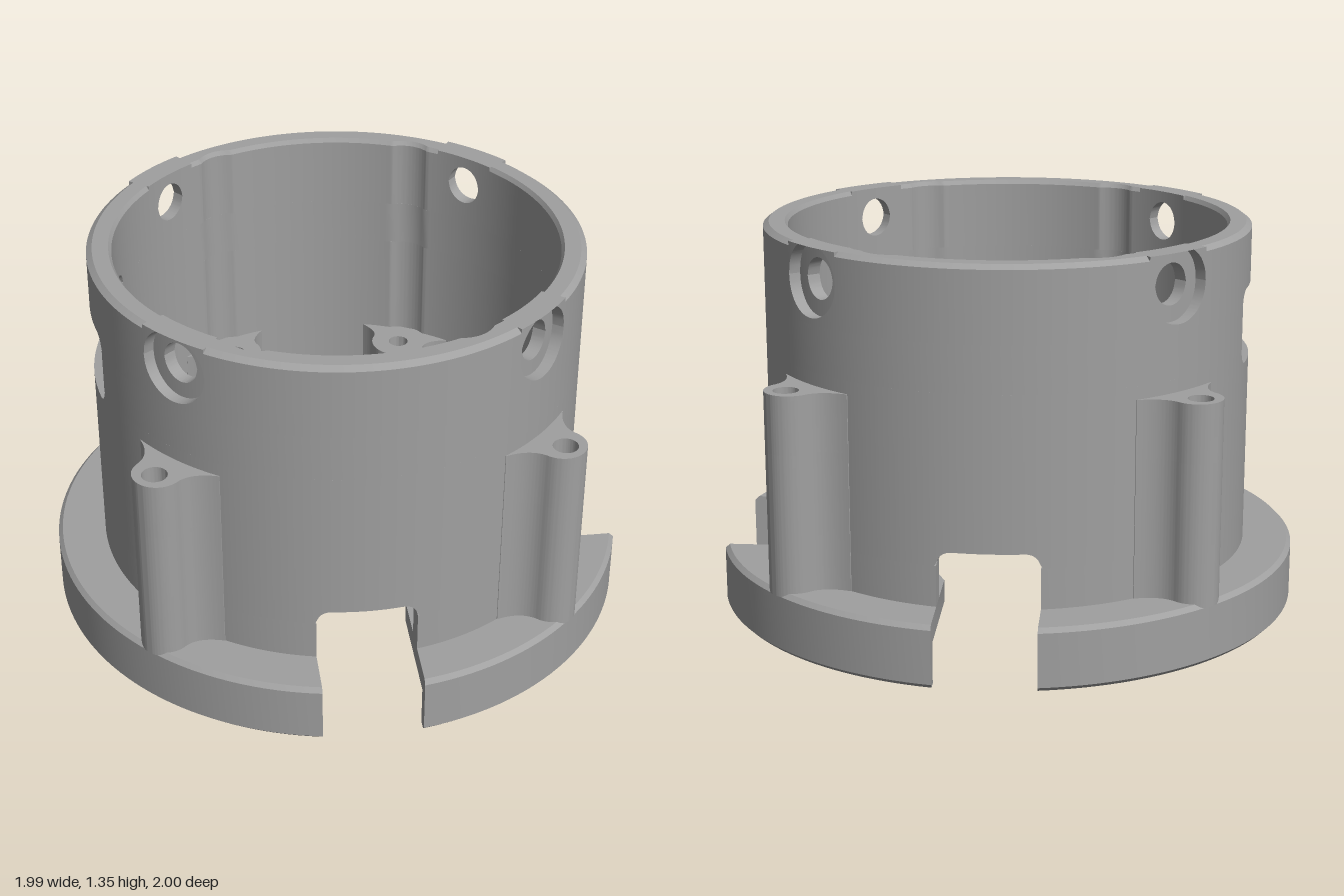
import * as THREE from 'three';
import { toCreasedNormals } from 'three/addons/utils/BufferGeometryUtils.js';

const grey = new THREE.MeshStandardMaterial({ color: 0xa0a0a0 });
grey.name = 'grey';

const PI = Math.PI;
const SLOT_X = 0.17, SLOT_Z = 0.27;          // half widths of the base slots
const R_IN = 0.76, R_OUT = 0.845, R_FLANGE = 1.015;
const WINDOW = 0.227;                        // half width of the side window
const HOLE_Y = 1.24, TOP = 1.35;
const BOSS_ANGLE = Math.atan2(0.59, 0.315), BOSS_R = 0.669;

const val = (v, ...args) => (typeof v === 'function' ? v(...args) : v);

// Ring segment: sweeps a convex cross-section of [radius, height] corners about the y axis.
// Angles may depend on radius (parallel cuts); radius and height may depend on angle.
function band(a0, a1, n, corners, capped = true) {
  const rows = [];
  for (let i = 0; i <= n; i++) {
    rows.push(corners.map(([rad, y]) => {
      const rRef = typeof rad === 'function' ? R_IN : rad;
      const a = THREE.MathUtils.lerp(val(a0, rRef), val(a1, rRef), i / n);
      const r = val(rad, a);
      return [r * Math.cos(a), val(y, a, r), r * Math.sin(a)];
    }));
  }
  const pos = [], m = corners.length;
  const tri = (a, b, c) => pos.push(...a, ...b, ...c);
  for (let i = 0; i < n; i++) {
    for (let j = 0; j < m; j++) {
      const k = (j + 1) % m, s = rows[i], e = rows[i + 1];
      tri(s[j], s[k], e[k]);
      tri(s[j], e[k], e[j]);
    }
  }
  if (capped) {
    for (let j = 1; j < m - 1; j++) {
      tri(rows[0][0], rows[0][j + 1], rows[0][j]);
      tri(rows[n][0], rows[n][j], rows[n][j + 1]);
    }
  }
  const g = new THREE.BufferGeometry();
  g.setAttribute('position', new THREE.Float32BufferAttribute(pos, 3));
  return toCreasedNormals(g, 0.5);
}

// Plan shape (x, z) extruded from y0 up to y1.
function slab(shape, y0, y1) {
  const g = new THREE.ExtrudeGeometry(shape, { depth: y1 - y0, bevelEnabled: false, curveSegments: 40 });
  g.rotateX(PI / 2).translate(0, y1, 0);
  return toCreasedNormals(g, 0.5);
}

function circle(x, z, r) {
  return new THREE.Path().absarc(x, z, r, 0, 2 * PI, false);
}

// Depth of an opening with rounded corners at lateral position u.
function rounded(u, w, rad = 0.05) {
  const d = w - Math.abs(u);
  if (d <= 0) return 0;
  return d < rad ? Math.sqrt(rad * rad - (rad - d) ** 2) : rad;
}

// Inner radius with shallow screwdriver grooves above the inner bosses.
function innerRadius(a) {
  const q = Math.atan2(Math.abs(Math.sin(a)), Math.abs(Math.cos(a)));
  const d = q - BOSS_ANGLE, k = 0.0121 - (BOSS_R * Math.sin(d)) ** 2;
  return k > 0 ? Math.max(R_IN, BOSS_R * Math.cos(d) + Math.sqrt(k)) : R_IN;
}

function outerColumnPlan() {
  const s = new THREE.Shape();
  s.moveTo(0.8, -0.17).lineTo(0.83, -0.17);
  s.quadraticCurveTo(0.87, -0.09, 0.93, -0.085);
  s.absarc(0.935, 0, 0.085, -PI / 2, PI / 2, false);
  s.quadraticCurveTo(0.87, 0.09, 0.83, 0.17);
  s.lineTo(0.8, 0.17);
  return s;
}

function innerBossPlan() {
  const s = new THREE.Shape();
  s.moveTo(0.775, -0.17).lineTo(0.74, -0.17);
  s.quadraticCurveTo(0.71, -0.1, BOSS_R, -0.1);
  s.absarc(BOSS_R, 0, 0.1, -PI / 2, PI / 2, true);
  s.quadraticCurveTo(0.71, 0.1, 0.74, 0.17);
  s.lineTo(0.775, 0.17);
  return s;
}

function longPlatePlan() {
  const s = new THREE.Shape(), a = Math.acos(-SLOT_X / 0.97), b = Math.atan2(0.48, -0.25);
  s.absarc(0, 0, 0.97, a, 2 * PI - a, false);
  s.lineTo(-0.17, -0.58).lineTo(-0.195, -0.52);
  s.absarc(0, 0, 0.54, 2 * PI - b, b, true);
  s.lineTo(-0.195, 0.52).lineTo(-0.17, 0.58);
  s.holes.push(circle(-0.445, 0.45, 0.06), circle(-0.445, -0.45, 0.06));
  return s;
}

function shortPlatePlan(m) {
  const s = new THREE.Shape();
  s.absarc(0, 0, 0.97, m * Math.asin(SLOT_Z / 0.97), m * Math.acos(SLOT_X / 0.97), m < 0);
  for (const [x, z] of [[0.17, 0.58], [0.195, 0.52], [0.28, 0.47], [0.37, 0.39], [0.41, 0.32], [0.47, 0.27]]) {
    s.lineTo(x, m * z);
  }
  s.holes.push(circle(0.445, m * 0.45, 0.06));
  return s;
}

export function createModel() {
  const model = new THREE.Group();
  model.name = 'housing';
  model.position.x = 0.02;
  const add = (name, geometry, parent = model) => {
    const mesh = new THREE.Mesh(geometry, grey);
    mesh.name = name;
    parent.add(mesh);
  };

  // Three base sectors separated by the slots: skirt, floor plate and lower wall
  const sectors = [
    ['right', (r) => Math.acos(-SLOT_X / r), (r) => 2 * PI - Math.acos(-SLOT_X / r), longPlatePlan()],
    ['frontLeft', (r) => Math.asin(SLOT_Z / r), (r) => Math.acos(SLOT_X / r), shortPlatePlan(1)],
    ['backLeft', (r) => -Math.acos(SLOT_X / r), (r) => -Math.asin(SLOT_Z / r), shortPlatePlan(-1)],
  ];
  for (const [side, a0, a1, plan] of sectors) {
    const n = side === 'right' ? 72 : 28;
    add(side + 'Skirt', band(a0, a1, n, [[0.965, 0], [1.0, 0], [R_FLANGE, 0.015],
      [R_FLANGE, 0.2], [1.0, 0.215], [0.965, 0.215]]));
    add(side + 'FloorPlate', slab(plan, 0.14, 0.215));
    add(side + 'LowerWall', band(a0, a1, n, [[R_IN, 0.14], [R_OUT, 0.14], [R_OUT, 0.355], [R_IN, 0.355]]));
  }

  // Middle wall: rounded slot tops below, window sill above
  const slotTop = (a, r) => {
    const x = r * Math.cos(a), z = r * Math.sin(a);
    return 0.355 + rounded(x, SLOT_X) + (x > 0 ? rounded(z, SLOT_Z) : 0);
  };
  const windowCorner = (a, r) => (Math.cos(a) < 0 ? rounded(r * Math.sin(a), WINDOW) : 0);
  const sill = (a, r) => 0.935 - windowCorner(a, r);
  const lintel = (a, r) => 1.095 + windowCorner(a, r);
  add('middleWall', band(0, 2 * PI, 720,
    [[innerRadius, slotTop], [R_OUT, slotTop], [R_OUT, sill], [innerRadius, sill]], false));
  add('windowWall', band((r) => -PI + Math.asin(WINDOW / r), (r) => PI - Math.asin(WINDOW / r), 240,
    [[innerRadius, 0.935], [R_OUT, 0.935], [R_OUT, 1.095], [innerRadius, 1.095]]));

  // Upper wall: chamfered rim sectors between four counterbored radial holes
  const g = 0.125 / 0.83, R_MID = 0.805;
  for (let k = 0; k < 4; k++) {
    const h = PI / 4 + k * PI / 2;
    add('upperWall', band(h + g, h + PI / 2 - g, 150, [[innerRadius, lintel], [R_OUT, lintel],
      [R_OUT, 1.335], [0.825, TOP], [(a) => innerRadius(a) + 0.01, TOP], [innerRadius, 1.335]]));
    const collar = new THREE.Group();
    collar.name = 'screwHoleCollar';
    model.add(collar);
    for (const [name, rin, rout, rad] of [['holeWall', R_IN, R_MID, 0.07], ['counterbore', R_MID, R_OUT, 0.125]]) {
      const half = (a) => Math.sqrt(Math.max(0, rad * rad - (0.83 * (a - h)) ** 2));
      const under = (a) => HOLE_Y - half(a);
      const over = (a) => Math.min(TOP, HOLE_Y + half(a));
      add(name + 'Lower', band(h - g, h + g, 80, [[rin, 1.095], [rout, 1.095], [rout, under], [rin, under]]), collar);
      add(name + 'Upper', band(h - g, h + g, 80, [[rin, over], [rout, over], [rout, TOP], [rin, TOP]]), collar);
    }
  }

  // Screw columns outside and bosses inside, each with a blind hole in the top
  const column = (name, plan, angle, y1, depth, holeX, holeR) => {
    const group = new THREE.Group();
    group.name = name;
    group.rotation.y = -angle;
    model.add(group);
    add('solidPart', slab(plan(), 0.2, y1 - depth), group);
    const drilled = plan();
    drilled.holes.push(circle(holeX, 0, holeR));
    add('drilledPart', slab(drilled, y1 - depth, y1), group);
  };
  for (let k = 0; k < 4; k++) {
    column('outerScrewColumn', outerColumnPlan, PI / 4 + k * PI / 2, 0.89, 0.2, 0.95, 0.043);
  }
  for (const a of [BOSS_ANGLE, PI - BOSS_ANGLE, PI + BOSS_ANGLE, -BOSS_ANGLE]) {
    column('innerScrewBoss', innerBossPlan, a, 0.56, 0.15, BOSS_R, 0.036);
  }
  return model;
}
